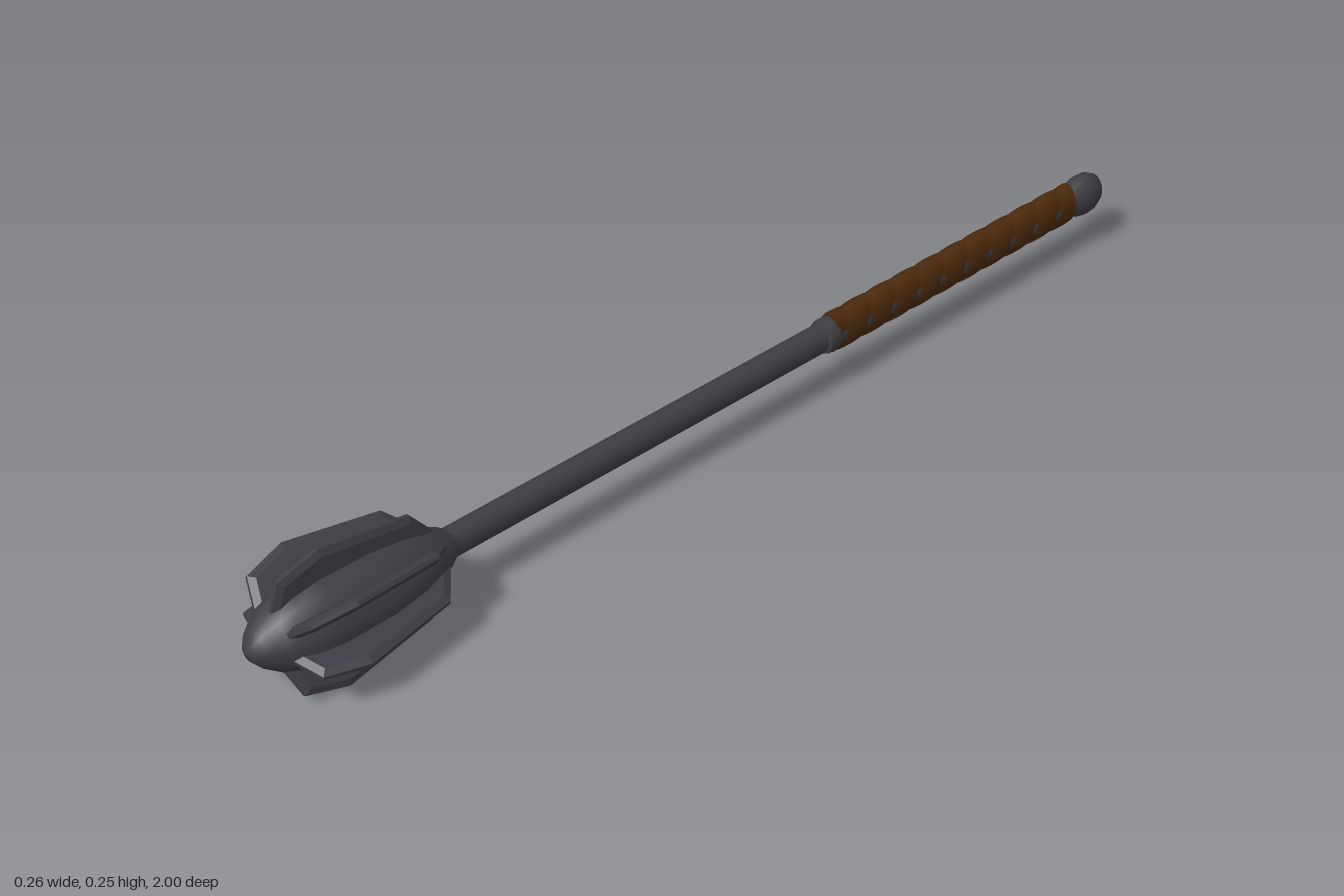
import * as THREE from 'three';

const AXIS_Y = 0.12; // height of the weapon's long axis

// Turned part along z, profile as [z, radius] pairs in order of rising z, flattened in x
function turned(profile, segments, flatten = 1) {
  const g = new THREE.LatheGeometry(profile.map(([z, r]) => new THREE.Vector2(r, z)), segments);
  g.rotateX(Math.PI / 2);
  g.scale(flatten, 1, 1);
  return g;
}

// Flanged blade with a bevelled rim, standing along +y
function bladeGeometry() {
  const outline = [[0.61, 0.02], [0.625, 0.045], [0.67, 0.1], [0.85, 0.13], [0.93, 0.108], [0.95, 0.05], [0.95, 0.02]];
  const shape = new THREE.Shape(outline.map(([z, r]) => new THREE.Vector2(z, r)));
  const g = new THREE.ExtrudeGeometry(shape, {
    depth: 0.007, bevelEnabled: true, bevelThickness: 0.0065, bevelSize: 0.012, bevelOffset: -0.012, bevelSegments: 1,
  });
  g.translate(0, 0, -0.0035);
  g.rotateY(-Math.PI / 2);
  return g;
}

// Leather winding: a tube whose surface follows a shallow spiral
function gripGeometry() {
  const length = 0.63, turns = 10;
  const g = new THREE.CylinderGeometry(1, 1, length, 24, 120);
  const p = g.attributes.position;
  for (let i = 0; i < p.count; i++) {
    const x = p.getX(i), y = p.getY(i), z = p.getZ(i);
    const phase = (y / length + 0.5) * turns + Math.atan2(x, z) / (Math.PI * 2);
    const bump = 0.003 * Math.pow(Math.abs(Math.sin(Math.PI * phase)), 0.5);
    p.setXYZ(i, x * (0.022 + bump), y, z * (0.0395 + bump));
  }
  g.rotateX(Math.PI / 2);
  g.translate(0, 0, -0.595);
  g.computeVertexNormals();
  return g;
}

export function createModel() {
  const model = new THREE.Group();
  model.name = 'mace';
  const steel = new THREE.MeshStandardMaterial({ color: 0x3e3d43 });
  steel.name = 'dark steel';
  const leather = new THREE.MeshStandardMaterial({ color: 0x4c2a0c });
  leather.name = 'brown leather';

  const add = (name, geometry, material = steel) => {
    const mesh = new THREE.Mesh(geometry, material);
    mesh.name = name;
    mesh.position.y = AXIS_Y;
    model.add(mesh);
    return mesh;
  };

  // Head core and its seven blades
  add('headCore', turned([
    [0.59, 0.024], [0.605, 0.034], [0.64, 0.052], [0.69, 0.068], [0.76, 0.078], [0.86, 0.079],
    [0.91, 0.072], [0.95, 0.056], [0.98, 0.034], [0.995, 0.016], [1.0, 0],
  ], 14));
  const blade = bladeGeometry();
  for (let i = 0; i < 7; i++) add('blade' + (i + 1), blade).rotation.z = (i / 7) * Math.PI * 2;

  // Shaft, collar, grip and pommel
  add('shaft', turned([[-0.92, 0.029], [0.62, 0.029]], 20, 0.82));
  add('collar', turned([
    [-0.287, 0], [-0.287, 0.031], [-0.28, 0.034], [-0.262, 0.034], [-0.255, 0.031], [-0.255, 0],
  ], 20, 0.86));
  add('grip', gripGeometry(), leather);
  add('pommel', turned([
    [-1.0, 0], [-0.997, 0.016], [-0.988, 0.031], [-0.97, 0.041], [-0.95, 0.043], [-0.93, 0.039],
    [-0.915, 0.032], [-0.9, 0.028],
  ], 16, 0.72));

  return model;
}
